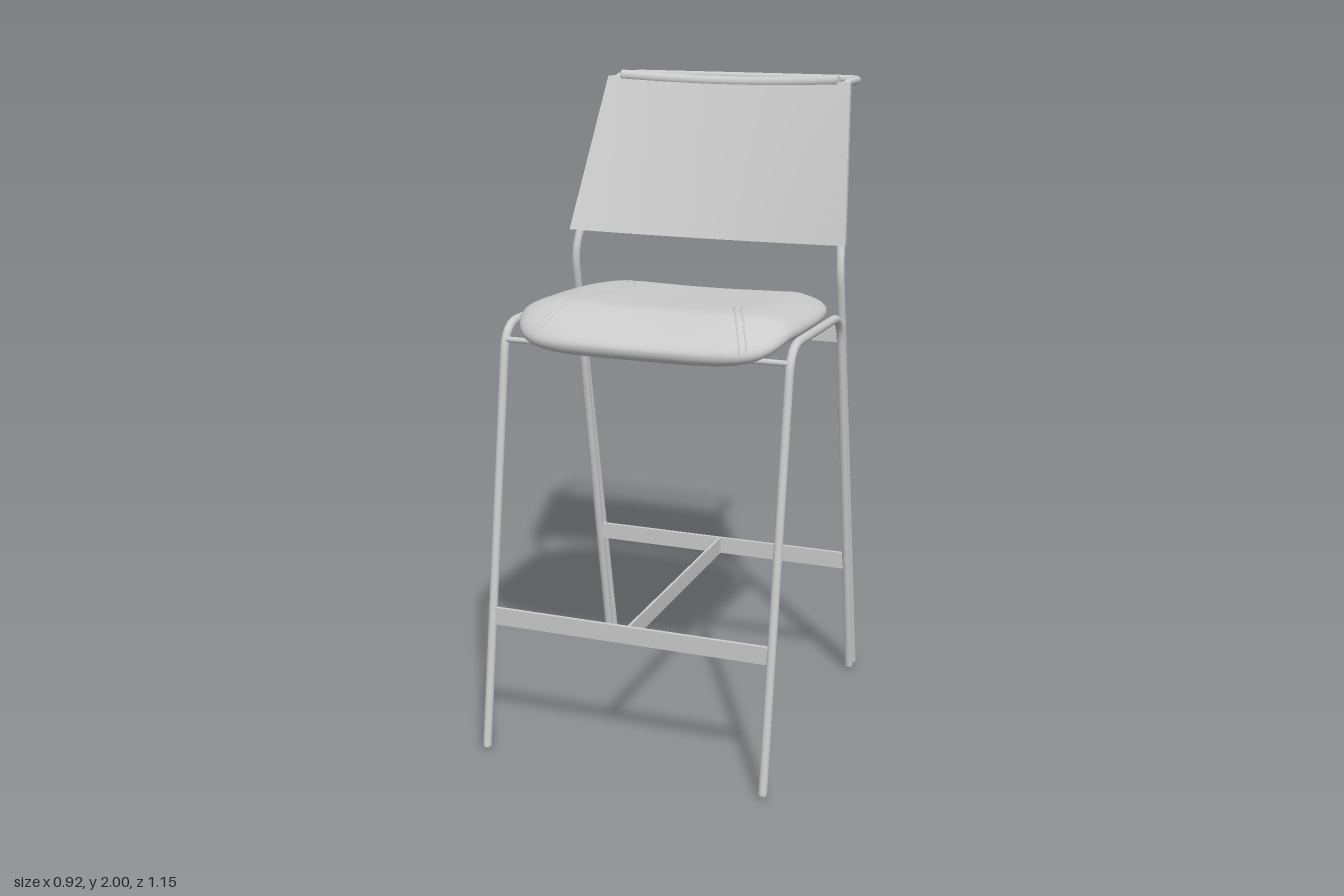
import * as THREE from 'three';
import { toCreasedNormals } from 'three/addons/utils/BufferGeometryUtils.js';

const mat = new THREE.MeshStandardMaterial({ color: 0xcccccc });
const R = 0.0135; // frame tube radius
const smooth = THREE.MathUtils.smoothstep;

function add(parent, geo, name, x = 0, y = 0, z = 0) {
  const mesh = new THREE.Mesh(geo, mat);
  mesh.name = name;
  mesh.position.set(x, y, z);
  parent.add(mesh);
  return mesh;
}

// Tube along straight runs with rounded corners; each corner is [x, y, z, bend]
function bentTube(corners, radius, segments) {
  const pts = corners.map(c => new THREE.Vector3(c[0], c[1], c[2]));
  const path = new THREE.CurvePath();
  let from = pts[0];
  for (let i = 1; i < pts.length - 1; i++) {
    const bend = corners[i][3];
    const a = pts[i].clone().add(pts[i - 1].clone().sub(pts[i]).setLength(bend));
    const b = pts[i].clone().add(pts[i + 1].clone().sub(pts[i]).setLength(bend));
    path.add(new THREE.LineCurve3(from, a));
    path.add(new THREE.QuadraticBezierCurve3(a, pts[i], b));
    from = b;
  }
  path.add(new THREE.LineCurve3(from, pts[pts.length - 1]));
  return new THREE.TubeGeometry(path, segments, radius, 12);
}

function indexed(pos, idx) {
  const geo = new THREE.BufferGeometry();
  geo.setAttribute('position', new THREE.Float32BufferAttribute(pos, 3));
  geo.setIndex(idx);
  geo.computeVertexNormals();
  return geo;
}

// Seat outline is a rounded square, slightly narrower at the back
const SEAT = { x: 0.432, z: 0.3825, zc: 0.0625, n: 4.4 };
const taper = z => 1 - 0.12 * Math.max(0, (SEAT.zc - z) / SEAT.z) ** 2;
const reach = (x, z) => (Math.abs(x / (SEAT.x * taper(z))) ** SEAT.n
  + Math.abs((z - SEAT.zc) / SEAT.z) ** SEAT.n) ** (1 / SEAT.n);
const edgeY = z => 1.306 + 0.03 * z - 0.05 * smooth(z, 0.26, 0.45) - 0.012 * smooth(-z, 0.2, 0.32);
function seatTop(x, z, s) {
  const dip = 0.012 * Math.max(0, 1 - (x / 0.3) ** 2);
  const h = 0.05 + 0.012 * smooth(z, -0.2, 0.3) - dip;
  return edgeY(z) + h * Math.sqrt(Math.max(0, 1 - s ** 5));
}
function seatUnder(x, z, s) {
  const rim = edgeY(z) - (0.04 + 0.01 * smooth(z, 0.2, 0.45)) * Math.sqrt(Math.max(0, 1 - s ** 10));
  return THREE.MathUtils.lerp(seatTop(x, z, s) - 0.018, rim, smooth(s, 0.8, 0.9));
}

function seatGeometry() {
  const rings = 56, sides = 96, pos = [], idx = [];
  for (let j = 0; j <= rings; j++) {
    const s = Math.sin(Math.PI * j / rings);
    for (let i = 0; i < sides; i++) {
      const a = 2 * Math.PI * i / sides, c = Math.cos(a), d = Math.sin(a);
      const r = s / (Math.abs(c) ** SEAT.n + Math.abs(d) ** SEAT.n) ** (1 / SEAT.n);
      const z = SEAT.zc + SEAT.z * r * d, x = SEAT.x * taper(z) * r * c;
      pos.push(x, j <= rings / 2 ? seatTop(x, z, s) : seatUnder(x, z, s), z);
      if (j === rings) continue;
      const p = j * sides + i, q = j * sides + (i + 1) % sides;
      idx.push(p, q, p + sides, q, q + sides, p + sides);
    }
  }
  return indexed(pos, idx);
}

// Backrest front face: u runs across (-1..1), v runs up (0..1)
function backFront(u, v) {
  const w = THREE.MathUtils.lerp(0.46, 0.407, v);
  const bow = THREE.MathUtils.lerp(0.06, 0.032, v) * (1 - u * u);
  const y = THREE.MathUtils.lerp(1.49 + 0.014 * u * u, 1.972 + 0.008 * u * u, v);
  return [w * u, y, THREE.MathUtils.lerp(-0.155, -0.367, v) - bow];
}

function backrestGeometry() {
  const us = [], half = 48, rows = 16, pos = [], idx = [];
  for (let i = 0; i <= half; i++) us.push(Math.sin(Math.PI * (i / half - 0.5)));
  const loop = 2 * (half + 1);
  for (let j = 0; j <= rows; j++) {
    for (let i = 0; i < loop; i++) {
      const back = i > half, u = us[back ? loop - 1 - i : i];
      const [x, y, z] = backFront(u, j / rows);
      // the sheet thickens into a sleeve around each upright
      const sleeve = Math.sqrt(Math.max(0, 1 - ((Math.abs(u) - 0.94) / 0.06) ** 2));
      pos.push(x, y, back ? z - 0.013 - 0.034 * sleeve : z);
      if (j === rows) continue;
      const p = j * loop + i, q = j * loop + (i + 1) % loop;
      idx.push(p, q, p + loop, q, q + loop, p + loop);
    }
  }
  // bottom and top edges
  const t = rows * loop;
  for (let i = 0; i < half; i++) {
    const a = i, b = i + 1, c = loop - 2 - i, d = loop - 1 - i;
    idx.push(a, d, b, b, d, c, t + a, t + b, t + d, t + b, t + c, t + d);
  }
  return toCreasedNormals(indexed(pos, idx), 0.9);
}

export function createModel() {
  const stool = new THREE.Group();
  stool.name = 'barStool';

  // Side frames: front leg, seat rail and inner rear leg in one bend
  const frame = new THREE.Group();
  frame.name = 'frame';
  stool.add(frame);
  for (const s of [-1, 1]) {
    const x = 0.445 * s;
    add(frame, bentTube([[x, R, 0.56], [x, 1.3, 0.352, 0.085], [x, 1.282, -0.178, 0.085], [x, R, -0.405]], R, 150), 'sideFrame');
    for (const z of [0.56, -0.405, -0.445]) add(frame, new THREE.SphereGeometry(R, 12, 8), 'footCap', x, R, z);
    for (const [y, z] of [[0.17, -0.394], [1.1, -0.222]]) {
      add(frame, new THREE.BoxGeometry(0.012, 0.02, 0.03), 'legSpacer', x, y, z);
    }
  }

  // Outer rear legs, uprights and rear handle as one continuous tube
  const leftRun = [[0.445, R, -0.445], [0.445, 1.43, -0.16, 0.06], [0.386, 1.975, -0.395, 0.03], [0.386, 1.975, -0.56, 0.04]];
  const rightRun = leftRun.map(([x, y, z, b]) => [-x, y, z, b]).reverse();
  add(frame, bentTube([...leftRun, ...rightRun], R, 420), 'backFrameAndHandle');

  // Flat footrest bars and the centre stretcher
  add(frame, new THREE.BoxGeometry(0.88, 0.054, 0.012), 'frontFootrest', 0, 0.417, 0.494);
  add(frame, new THREE.BoxGeometry(0.88, 0.054, 0.012), 'rearFootrest', 0, 0.417, -0.333);
  add(frame, new THREE.BoxGeometry(0.008, 0.054, 0.825), 'centreStretcher', 0, 0.417, 0.081);

  // Seat supports
  add(frame, new THREE.BoxGeometry(0.88, 0.052, 0.012), 'rearSeatBar', 0, 1.22, -0.192);
  const support = add(frame, new THREE.CylinderGeometry(0.009, 0.009, 0.88, 12), 'frontSeatBar', 0, 1.252, 0.36);
  support.rotation.z = Math.PI / 2;

  // Padded seat with double seams
  add(stool, seatGeometry(), 'seat');
  const seam = [[0.29, -0.23], [0.235, -0.16], [0.208, -0.08], [0.208, 0.06], [0.225, 0.2], [0.275, 0.33], [0.31, 0.41], [0.316, 0.427]];
  for (const s of [-1, 1]) for (const offset of [0, 0.022]) {
    const line = new THREE.CatmullRomCurve3(seam.map(([x, z]) => new THREE.Vector3(s * (x + offset), 0, z)));
    const pts = line.getPoints(60).filter(p => reach(p.x, p.z) < 0.998);
    for (const p of pts) p.y = seatTop(p.x, p.z, reach(p.x, p.z)) - 0.001;
    add(stool, new THREE.TubeGeometry(new THREE.CatmullRomCurve3(pts), 90, 0.0025, 6), 'seatSeam');
  }

  // Backrest sling and its rolled top hem
  add(stool, backrestGeometry(), 'backrest');
  const hem = [];
  for (let i = 0; i <= 12; i++) {
    const x = 0.365 * (i / 6 - 1), k = (x / 0.365) ** 2;
    hem.push(new THREE.Vector3(x, 1.968 + 0.014 * k, -0.411 + 0.025 * k));
  }
  add(stool, new THREE.TubeGeometry(new THREE.CatmullRomCurve3(hem), 40, 0.018, 14), 'topHem');
  for (const p of [hem[0], hem[12]]) {
    add(stool, new THREE.SphereGeometry(0.018, 14, 10).scale(0.2, 1, 1), 'hemEnd', p.x, p.y, p.z);
  }
  return stool;
}
